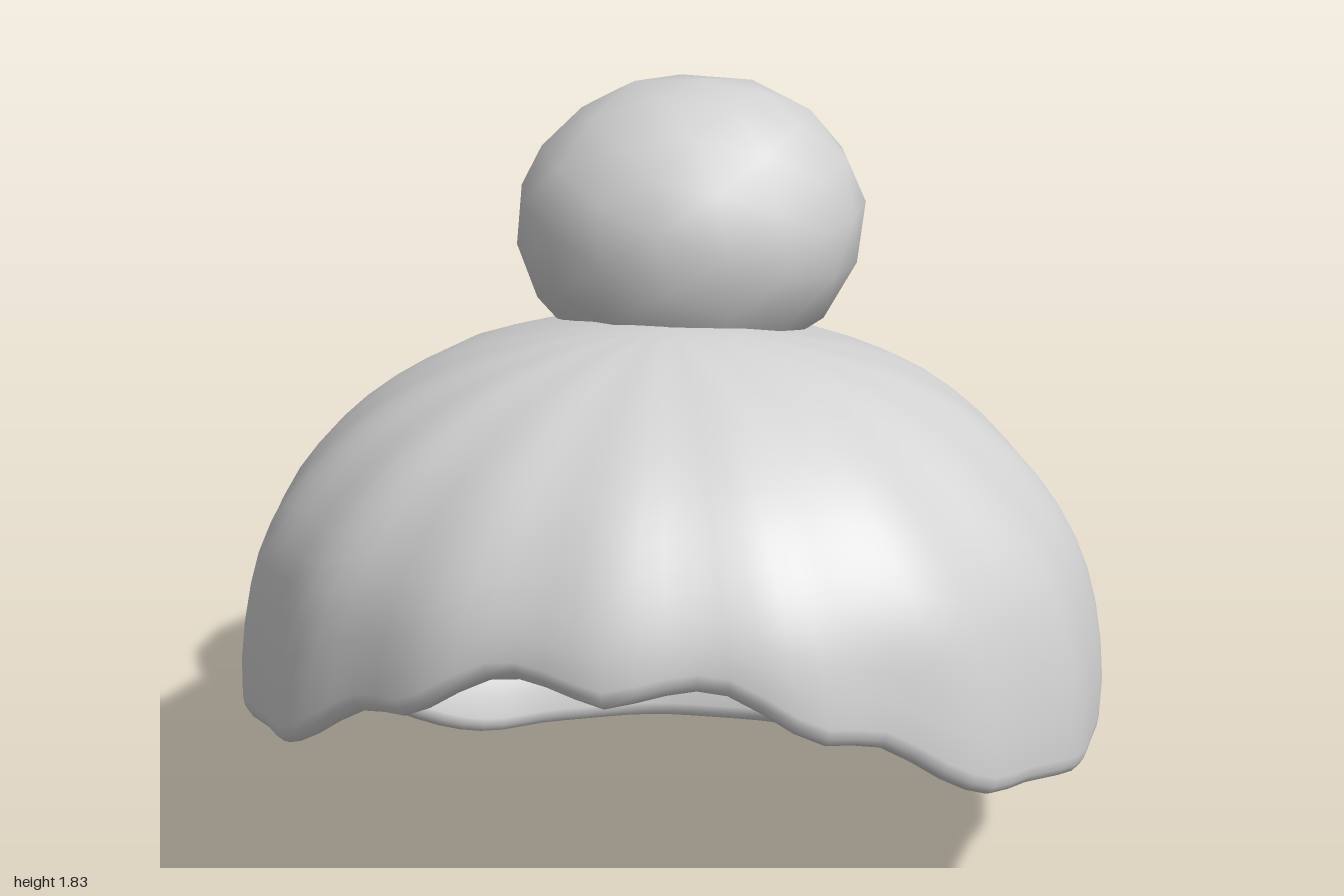
import * as THREE from 'three';
import { mergeVertices } from 'three/addons/utils/BufferGeometryUtils.js';

const TOP = 1.345;   // crown height
const THICK = 0.055; // thickness of the folded hem
const HEM = 0.16;    // height of the hem on the inside
const LIP = 0.045;   // height of the rounded lower edge
const LINING = 0.012; // thickness of the cap above the hem

// Dome slices: height, half width, front z, back z
const SLICES = [
  [1.345, 0, 0.1, 0.1], [1.3, 0.33, 0.34, -0.15], [1.22, 0.54, 0.53, -0.43],
  [1.1, 0.72, 0.7, -0.61], [0.92, 0.88, 0.83, -0.745], [0.75, 0.957, 0.868, -0.825],
  [0.5, 0.998, 0.885, -0.865], [0.3, 0.975, 0.865, -0.855], [0.1, 0.905, 0.8, -0.79],
  [0, 0.855, 0.76, -0.76],
];
// Rim height by angle in degrees, 0 at the front
const RIM = [
  [0, 0.765], [11, 0.8], [17, 0.785], [27, 0.68], [36, 0.645], [46, 0.53], [53, 0.475],
  [59, 0.462], [67, 0.435], [75, 0.405], [84, 0.388], [90, 0.38], [97, 0.335],
  [106, 0.26], [115, 0.17], [127, 0.06], [138, 0.004], [150, 0], [180, 0],
];

// Smooth interpolation of column k in a table keyed by its first column
function sample(table, key, k) {
  let i = 0;
  while (i < table.length - 2 && key > table[i + 1][0]) i++;
  const slope = (n) => {
    const a = table[Math.max(n - 1, 0)], b = table[Math.min(n + 1, table.length - 1)];
    return (b[k] - a[k]) / (b[0] - a[0]);
  };
  const p = table[i], q = table[i + 1], h = q[0] - p[0];
  const t = THREE.MathUtils.clamp((key - p[0]) / h, 0, 1), s = 1 - t;
  return p[k] * (1 + 2 * t) * s * s + q[k] * t * t * (3 - 2 * t)
    + h * (slope(i) * t * s * s - slope(i + 1) * t * t * s);
}

const depthOf = (y) => Math.sqrt(Math.max(0, (TOP - y) / TOP));
const DOME = SLICES.map(([y, ...rest]) => [depthOf(y), ...rest]);

// Point on the ribbed dome, moved inward by inset
function domePoint(phi, y, inset) {
  const u = depthOf(y);
  const w = sample(DOME, u, 1), f = sample(DOME, u, 2), b = sample(DOME, u, 3);
  const frontness = 0.7 + 0.3 * Math.cos(phi);
  const rib = 0.009 * Math.cos(15 * phi) * frontness * Math.min(1, u * 2.5);
  const grow = rib - inset;
  return [
    Math.max(0, w + grow) * Math.sin(phi),
    y - inset * (1 - u) ** 2,
    (f + b) / 2 + Math.max(0, (f - b) / 2 + grow) * Math.cos(phi),
  ];
}

// Closed shell: outside, rounded lip, inner hem, then the lining back to the crown
function capGeometry() {
  const around = 90, rows = 18, roll = 6;
  const positions = [], index = [];
  let perRing = 0;
  for (let i = 0; i < around; i++) {
    const phi = (i / around) * Math.PI * 2;
    const degrees = THREE.MathUtils.radToDeg(Math.min(phi, Math.PI * 2 - phi));
    const edge = sample(RIM, degrees, 1) + LIP;
    const hemTop = edge + HEM - LIP;
    const column = [];
    const addRow = (bottom, j, inset) =>
      column.push(domePoint(phi, TOP - (TOP - bottom) * (j / rows) ** 2, inset));
    for (let j = 0; j <= rows; j++) addRow(edge, j, 0);
    for (let j = 1; j < roll; j++) {
      const a = (j / roll) * Math.PI;
      const p = domePoint(phi, edge, (THICK / 2) * (1 - Math.cos(a)));
      p[1] -= LIP * Math.sin(a);
      column.push(p);
    }
    for (const t of [0, 0.5, 0.95, 1]) {
      column.push(domePoint(phi, edge + (hemTop - edge) * t, t < 1 ? THICK : THICK * 0.8));
    }
    for (let j = rows; j >= 0; j--) addRow(hemTop, j, LINING);
    perRing = column.length;
    positions.push(...column.flat());
  }
  for (let i = 0; i < around; i++) {
    for (let j = 0; j < perRing - 1; j++) {
      const a = i * perRing + j, c = ((i + 1) % around) * perRing + j;
      index.push(a, a + 1, c, c, a + 1, c + 1);
    }
  }
  const g = new THREE.BufferGeometry();
  g.setAttribute('position', new THREE.Float32BufferAttribute(positions, 3));
  g.setIndex(index);
  g.computeVertexNormals();
  return g;
}

// Slightly lumpy low-poly ball with smooth normals
function pompomGeometry() {
  let g = new THREE.IcosahedronGeometry(1, 2);
  g.deleteAttribute('normal');
  g.deleteAttribute('uv');
  g = mergeVertices(g, 1e-4);
  const p = g.attributes.position;
  for (let i = 0; i < p.count; i++) {
    const x = p.getX(i), y = p.getY(i), z = p.getZ(i);
    const r = 1 + 0.02 * Math.sin(5 * x + 3 * y) * Math.cos(4 * z - 2 * x);
    p.setXYZ(i, x * r * 0.405, y * r * 0.34, z * r * 0.375);
  }
  g.computeVertexNormals();
  return g;
}

export function createModel() {
  const wool = new THREE.MeshStandardMaterial({ color: 0xd2d2d2 });
  wool.name = 'light grey wool';

  const cap = new THREE.Mesh(capGeometry(), wool);
  cap.name = 'ribbedCap';

  const pompom = new THREE.Mesh(pompomGeometry(), wool);
  pompom.name = 'pompom';
  pompom.position.set(0, 1.49, -0.24);
  pompom.rotation.z = 0.12;

  const model = new THREE.Group();
  model.name = 'bobbleHat';
  model.add(cap, pompom);
  return model;
}
